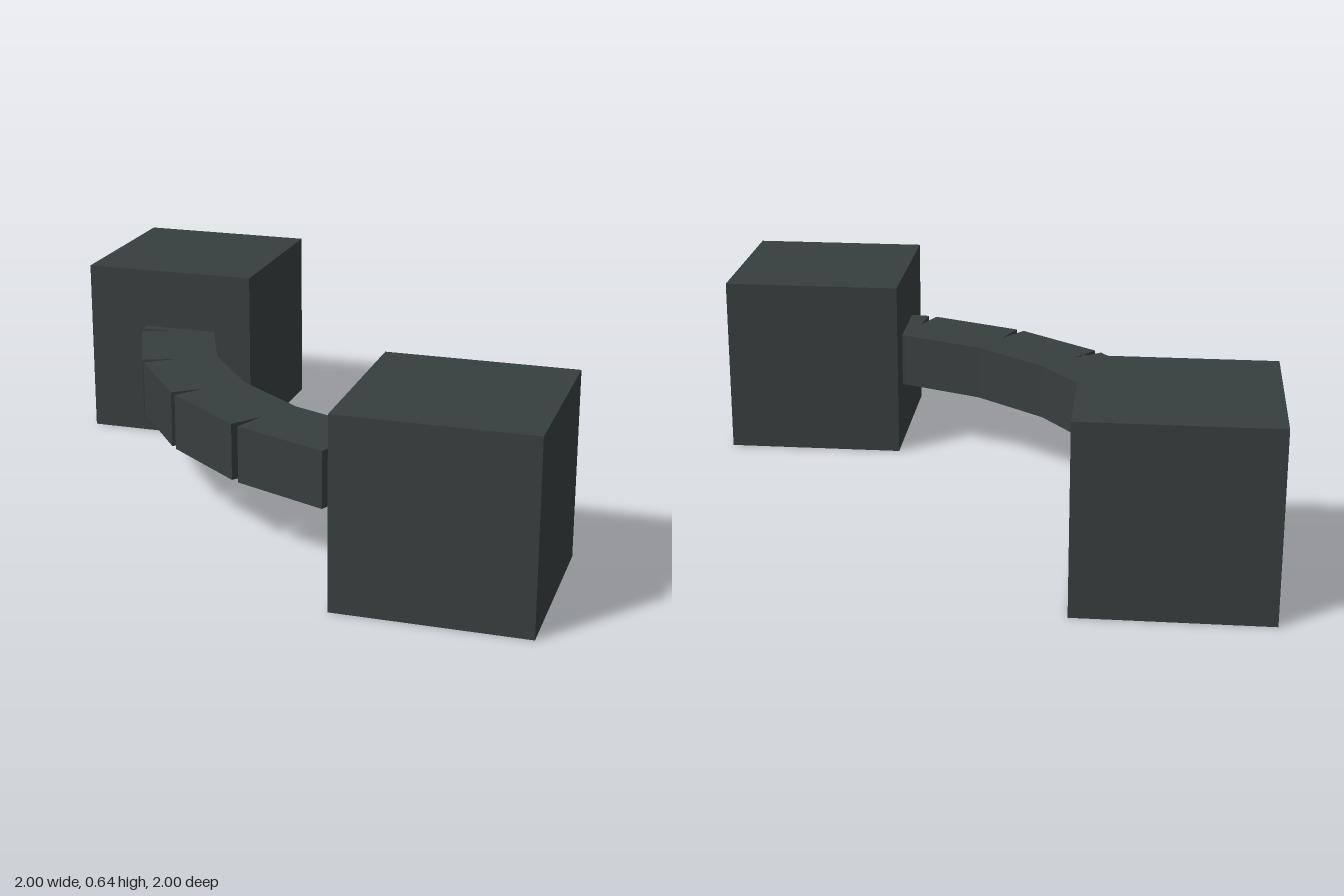
import * as THREE from 'three';

export function createModel() {
  const group = new THREE.Group();
  const charcoal = new THREE.MeshStandardMaterial({ color: 0x373e3e });

  // Two cubes on opposite corners
  const side = 0.64;
  const cube = new THREE.BoxGeometry(side, side, side);
  for (const [name, s] of [['rearCube', -1], ['frontCube', 1]]) {
    const mesh = new THREE.Mesh(cube, charcoal);
    mesh.name = name;
    mesh.position.set(s * (1 - side / 2), side / 2, s * (1 - side / 2));
    group.add(mesh);
  }

  // Quarter-circle chain of straight blocks joining the cubes;
  // inner corners overlap, outer corners leave wedge gaps
  const arm = new THREE.Group();
  arm.name = 'curvedArm';
  const block = new THREE.BoxGeometry(0.355, 0.195, 0.27);
  const radius = 1.333, cx = 0.66, cz = -0.684, count = 6;
  for (let i = 0; i < count; i++) {
    const t = THREE.MathUtils.degToRad(7.5 + i * 15);
    const mesh = new THREE.Mesh(block, charcoal);
    mesh.name = `armBlock${i + 1}`;
    mesh.position.set(cx - radius * Math.sin(t), 0.323, cz + radius * Math.cos(t));
    mesh.rotation.y = -t;
    arm.add(mesh);
  }
  group.add(arm);
  return group;
}
